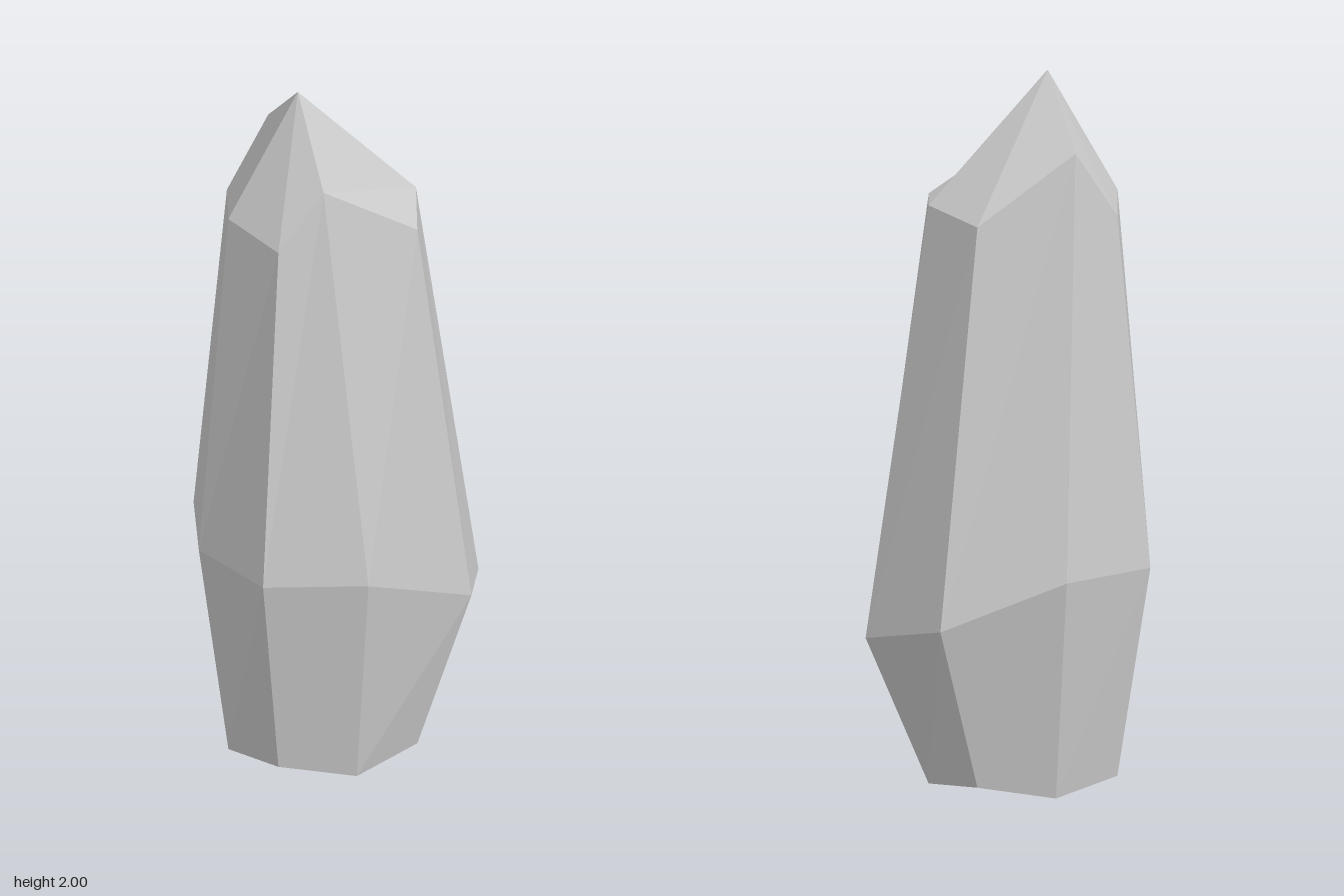
import * as THREE from 'three';

// Eight corners per ring, counter-clockwise from above: left side, front, right side, back
const topRing = [
  [-0.32, 1.65, 0], [-0.25, 1.63, 0.2], [-0.12, 1.79, 0.2], [0.15, 1.63, 0.2],
  [0.22, 1.65, 0], [0.15, 1.63, -0.2], [-0.12, 1.82, -0.23], [-0.25, 1.63, -0.2],
];
const girdle = [
  [-0.405, 0.66, 0], [-0.32, 0.66, 0.27], [-0.05, 0.66, 0.36], [0.28, 0.53, 0.27],
  [0.4, 0.46, 0], [0.28, 0.53, -0.27], [-0.05, 0.66, -0.36], [-0.32, 0.66, -0.27],
];
const baseRing = [
  [-0.32, 0.04, 0], [-0.25, 0.07, 0.2], [-0.05, 0.04, 0.27], [0.15, 0.07, 0.2],
  [0.22, 0.04, 0], [0.15, 0.07, -0.2], [-0.05, 0.04, -0.27], [-0.25, 0.07, -0.2],
];
const tip = [-0.12, 2, 0];
const foot = [-0.05, 0, 0];

function facetMesh(name, triangles) {
  const geometry = new THREE.BufferGeometry();
  geometry.setAttribute('position', new THREE.Float32BufferAttribute(triangles.flat(2), 3));
  geometry.computeVertexNormals();
  const material = new THREE.MeshStandardMaterial({ color: 0xcccccc, flatShading: true });
  const mesh = new THREE.Mesh(geometry, material);
  mesh.name = name;
  return mesh;
}

// Band of split quads between two rings
function band(upper, lower) {
  return upper.flatMap((a, i) => {
    const j = (i + 1) % upper.length;
    return [[a, lower[i], upper[j]], [upper[j], lower[i], lower[j]]];
  });
}

export function createModel() {
  const group = new THREE.Group();
  group.name = 'crystal';

  // Pointed cap; one front facet runs straight from the tip to the right corner
  const cap = [];
  for (let i = 0; i < 8; i++) {
    const a = topRing[i], b = topRing[(i + 1) % 8];
    if (i === 2) cap.push([tip, a, topRing[4]]);
    else if (i === 3) cap.push([topRing[2], a, b]);
    else cap.push([tip, a, b]);
  }
  group.add(facetMesh('crystalTip', cap));

  // Long tapering shaft and the shorter lower part
  group.add(facetMesh('upperShaft', band(topRing, girdle)));
  group.add(facetMesh('lowerShaft', band(girdle, baseRing)));

  // Shallow faceted underside
  group.add(facetMesh('underside', baseRing.map((a, i) => [foot, baseRing[(i + 1) % 8], a])));
  return group;
}
